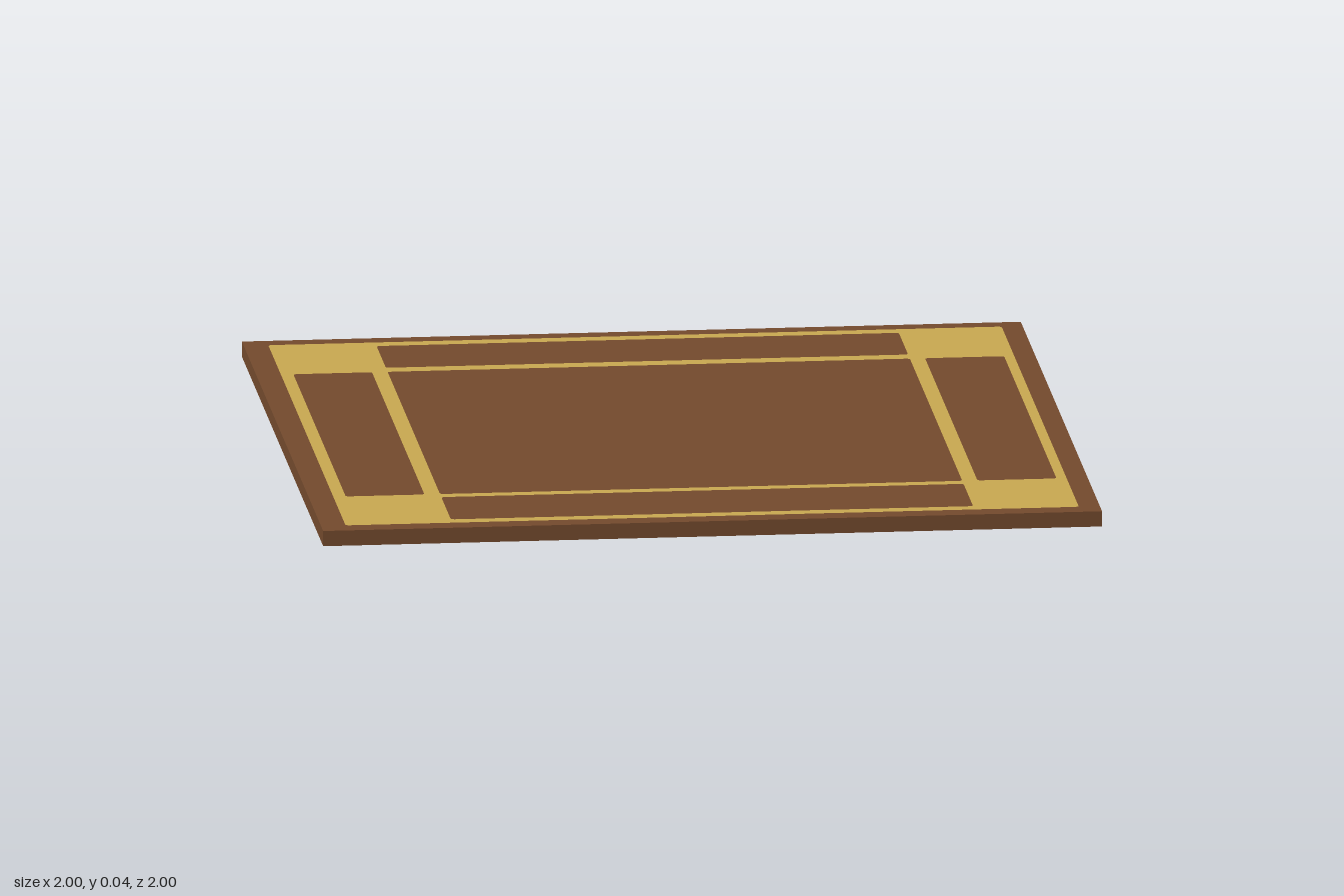
import * as THREE from 'three';

const HEIGHT = 0.04;

// Rectangle in plan (x and z limits) with slightly clipped round corners
function roundedRect(path, [x0, x1, z0, z1], r = 0.01) {
  const y0 = -z1, y1 = -z0;
  path.moveTo(x0 + r, y0);
  path.lineTo(x1 - r, y0);
  path.quadraticCurveTo(x1, y0, x1, y0 + r);
  path.lineTo(x1, y1 - r);
  path.quadraticCurveTo(x1, y1, x1 - r, y1);
  path.lineTo(x0 + r, y1);
  path.quadraticCurveTo(x0, y1, x0, y1 - r);
  path.lineTo(x0, y0 + r);
  path.quadraticCurveTo(x0, y0, x0 + r, y0);
  return path;
}

// Flat sheet lying at the top of the tile, with optional cut-outs
function sheet(name, rect, holes, material, r) {
  const shape = roundedRect(new THREE.Shape(), rect, r);
  for (const hole of holes) shape.holes.push(roundedRect(new THREE.Path(), hole));
  const geometry = new THREE.ShapeGeometry(shape, 3);
  geometry.rotateX(-Math.PI / 2);
  geometry.translate(0, HEIGHT, 0);
  const mesh = new THREE.Mesh(geometry, material);
  mesh.name = name;
  return mesh;
}

export function createModel() {
  const brown = new THREE.MeshStandardMaterial({ color: 0x734a2d, side: THREE.DoubleSide });
  brown.name = 'brown';
  const gold = new THREE.MeshStandardMaterial({ color: 0xc8a850, side: THREE.DoubleSide });
  gold.name = 'gold';

  const group = new THREE.Group();
  group.name = 'panelledTile';

  // Top surface: brown border, gold framework, brown panels
  const field = [-0.937, 0.946, -0.955, 0.947];
  const panels = {
    centrePanel: [-0.663, 0.678, -0.645, 0.645],
    backPanel: [-0.663, 0.678, -0.917, -0.688],
    frontPanel: [-0.663, 0.678, 0.677, 0.912],
    rightPanel: [-0.905, -0.703, -0.645, 0.645],
    leftPanel: [0.717, 0.92, -0.645, 0.645],
  };
  group.add(sheet('border', [-1, 1, -1, 1], [field], brown, 0));
  group.add(sheet('framework', field, Object.values(panels), gold));
  for (const [name, rect] of Object.entries(panels)) group.add(sheet(name, rect, [], brown));

  // Four rim walls, open underneath
  ['frontRim', 'leftRim', 'backRim', 'rightRim'].forEach((name, i) => {
    const geometry = new THREE.PlaneGeometry(2, HEIGHT);
    geometry.translate(0, HEIGHT / 2, 1);
    const wall = new THREE.Mesh(geometry, brown);
    wall.rotation.y = (i * Math.PI) / 2;
    wall.name = name;
    group.add(wall);
  });

  return group;
}
